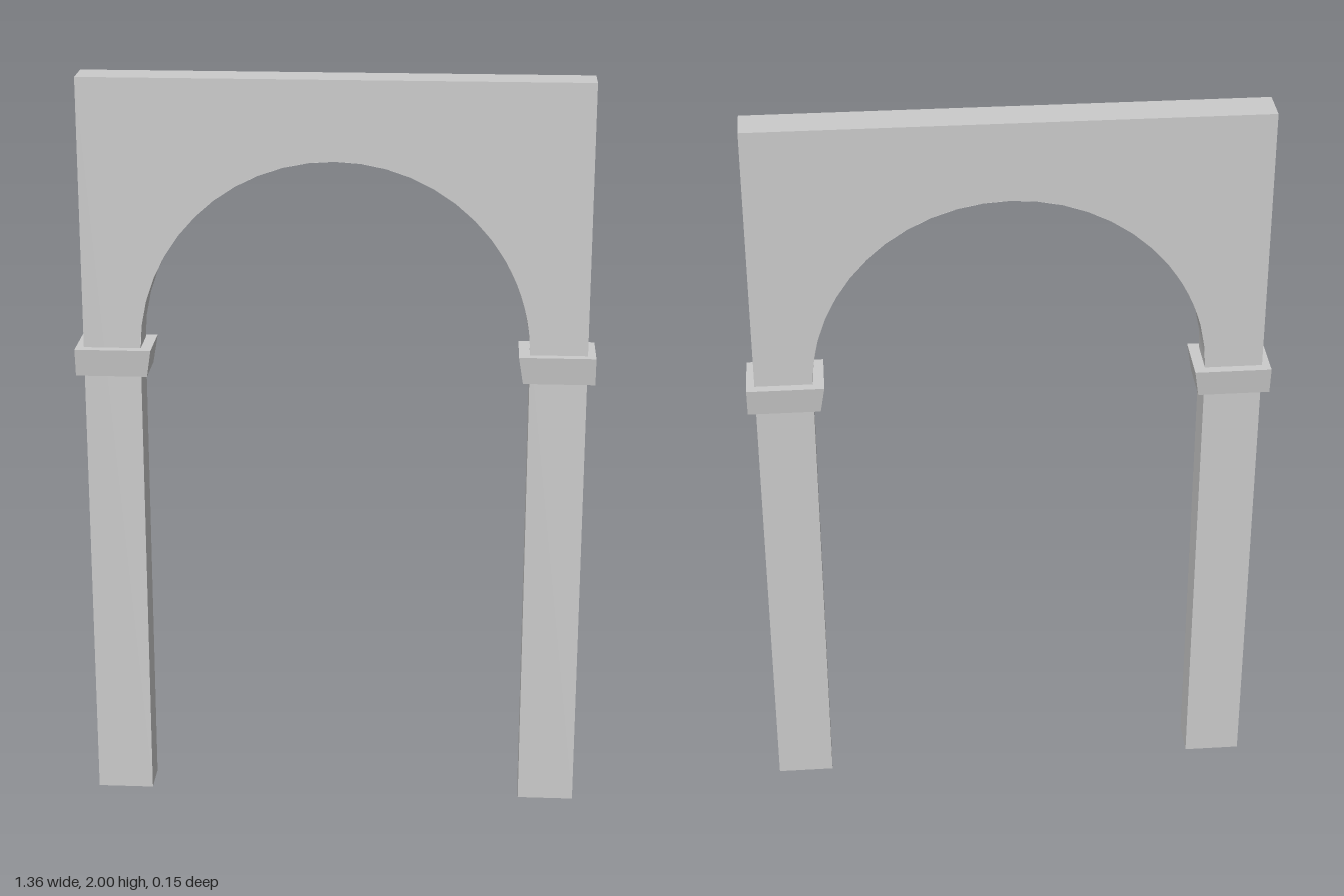
import * as THREE from 'three';

const OUTER = 0.66, RADIUS = 0.51, SPRING = 1.28, TOP = 2, HALF = 0.05, SEGMENTS = 24;

export function createModel() {
  const group = new THREE.Group();
  // the wall is an open shell, so both sides show
  const material = new THREE.MeshStandardMaterial({ color: 0xcccccc, side: THREE.DoubleSide });
  const add = (name, geometry, x = 0, y = 0, z = 0) => {
    const mesh = new THREE.Mesh(geometry, material);
    mesh.name = name;
    mesh.position.set(x, y, z);
    group.add(mesh);
    return mesh;
  };

  // front and back faces: two legs joined by a round arch
  const outline = new THREE.Shape();
  outline.moveTo(OUTER, 0);
  outline.lineTo(OUTER, TOP);
  outline.lineTo(-OUTER, TOP);
  outline.lineTo(-OUTER, 0);
  outline.lineTo(-RADIUS, 0);
  outline.lineTo(-RADIUS, SPRING);
  outline.absarc(0, SPRING, RADIUS, Math.PI, 0, true);
  outline.lineTo(RADIUS, 0);
  const face = new THREE.ShapeGeometry(outline, SEGMENTS);
  add('frontFace', face, 0, 0, HALF);
  add('backFace', face, 0, 0, -HALF).rotation.y = Math.PI;

  // top of the wall; the outer ends and the feet stay open
  add('topFace', new THREE.PlaneGeometry(2 * OUTER, 2 * HALF).rotateX(-Math.PI / 2), 0, TOP);

  // curved underside of the arch
  const soffit = new THREE.CylinderGeometry(
    RADIUS, RADIUS, 2 * HALF, SEGMENTS, 1, true, Math.PI / 2, Math.PI).rotateX(Math.PI / 2);
  add('archSoffit', soffit, 0, SPRING);

  for (const [label, side] of [['left', 1], ['right', -1]]) {
    // inner side of the leg
    const jamb = new THREE.PlaneGeometry(2 * HALF, SPRING).rotateY(-side * Math.PI / 2);
    add(label + 'Jamb', jamb, side * RADIUS, SPRING / 2);

    // impost block, tapering downwards except on its outer end
    const impost = new THREE.BoxGeometry(0.2, 0.074, 0.15);
    const p = impost.attributes.position;
    for (let i = 0; i < p.count; i++) {
      if (p.getY(i) > 0) continue;
      p.setZ(i, Math.sign(p.getZ(i)) * 0.065);
      if (p.getX(i) * side < 0) p.setX(i, -side * 0.088);
    }
    impost.computeVertexNormals();
    add(label + 'Impost', impost, side * 0.581, 1.248);
  }
  return group;
}
